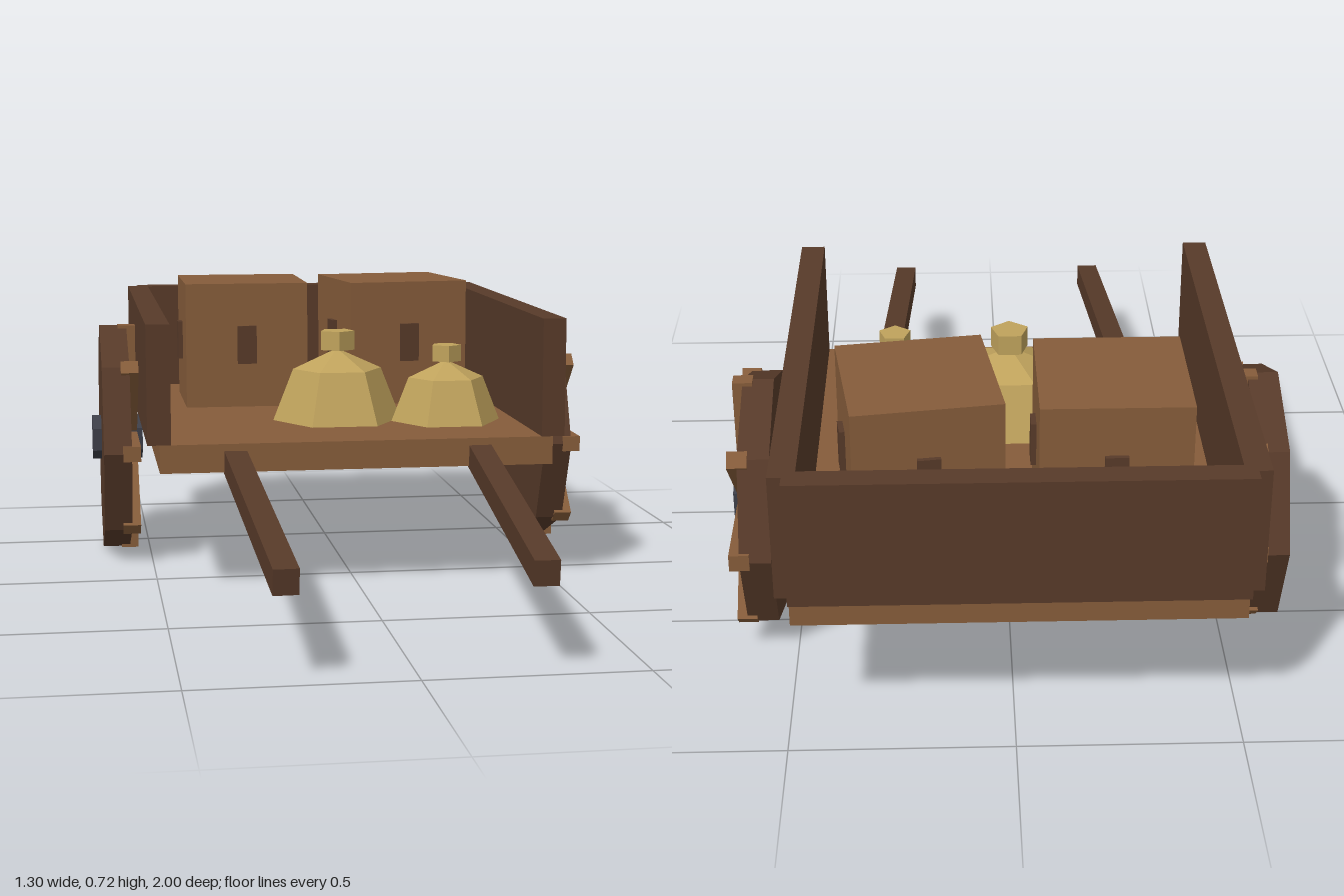
import * as THREE from 'three';

const mat = (color) => new THREE.MeshStandardMaterial({ color, flatShading: true });

export function createModel() {
  const tan = mat(0x855c3a), dark = mat(0x573a29), sackCloth = mat(0xbfa25c), iron = mat(0x3c3e48);
  const cart = new THREE.Group();
  cart.name = 'handCart';

  const add = (parent, name, geometry, material, x = 0, y = 0, z = 0) => {
    const mesh = new THREE.Mesh(geometry, material);
    mesh.name = name;
    mesh.position.set(x, y, z);
    parent.add(mesh);
    return mesh;
  };
  const group = (name, x, y, z) => {
    const g = new THREE.Group();
    g.name = name;
    g.position.set(x, y, z);
    cart.add(g);
    return g;
  };
  const box = (w, h, d) => new THREE.BoxGeometry(w, h, d);

  // Bed with walls on three sides, open at the front
  const cx = -0.008;
  add(cart, 'bed', box(0.98, 0.07, 1.165), tan, cx, 0.345, -0.385);
  add(cart, 'backWall', box(0.98, 0.295, 0.058), dark, cx, 0.5275, -0.971);
  for (const s of [1, -1]) {
    add(cart, s > 0 ? 'leftWall' : 'rightWall', box(0.058, 0.295, 1.165), dark, cx + s * 0.491, 0.5275, -0.385);
  }

  // Pull shafts, sloping down and inwards to the front
  for (const s of [1, -1]) {
    const from = new THREE.Vector3(cx + s * 0.309, 0.348, 0.09);
    const to = new THREE.Vector3(cx + s * 0.275, 0.221, 0.996);
    const mid = from.clone().add(to).multiplyScalar(0.5);
    const shaft = add(cart, s > 0 ? 'leftShaft' : 'rightShaft', box(0.056, 0.058, from.distanceTo(to)), dark, mid.x, mid.y, mid.z);
    shaft.lookAt(to);
  }

  // Wheels: eight-sided disc, four crossing bars on the +x face, six-sided hub
  const wheelAt = (name, discX, hubX) => {
    const wheel = group(name, 0, 0.308, -0.415);
    add(wheel, 'disc', new THREE.CylinderGeometry(0.306, 0.306, 0.072, 8).rotateZ(Math.PI / 2), dark, discX);
    for (let i = 0; i < 4; i++) {
      const spoke = add(wheel, 'spoke', box(0.046, 0.612, 0.04), tan, discX + 0.036);
      spoke.rotation.x = (i * Math.PI) / 4;
    }
    add(wheel, 'hub', new THREE.CylinderGeometry(0.06, 0.06, 0.134, 6, 1, false, Math.PI / 6).rotateZ(Math.PI / 2), iron, hubX);
  };
  wheelAt('leftWheel', 0.577, 0.581);
  wheelAt('rightWheel', -0.59, -0.583);

  // Crates with a grip on every side
  const crateAt = (x, z, turn) => {
    const crate = group('crate', x, 0.38, z);
    crate.rotation.y = turn;
    add(crate, 'crateBody', box(0.335, 0.34, 0.338), tan, 0, 0.17, 0);
    for (let i = 0; i < 4; i++) {
      const a = (i * Math.PI) / 2;
      const grip = add(crate, 'crateGrip', box(0.052, 0.104, 0.03), dark, Math.sin(a) * 0.165, 0.172, Math.cos(a) * 0.165);
      grip.rotation.y = a;
    }
  };
  crateAt(-0.223, -0.605, 0);
  crateAt(0.206, -0.604, 0.14);

  // Six-sided sacks with a five-sided tied top
  const profile = [[0, 0], [0.17, 0], [0.117, 0.135], [0, 0.188]].map(([r, y]) => new THREE.Vector2(r, y));
  const sackAt = (x, z, scale) => {
    const sack = group('sack', x, 0.38, z);
    sack.scale.setScalar(scale);
    add(sack, 'sackBody', new THREE.LatheGeometry(profile, 6, Math.PI / 2), sackCloth);
    add(sack, 'sackTie', new THREE.CylinderGeometry(0.047, 0.047, 0.05, 5), sackCloth, 0, 0.21, 0);
  };
  sackAt(-0.01, -0.175, 1);
  sackAt(0.27, -0.113, 0.85);

  return cart;
}
